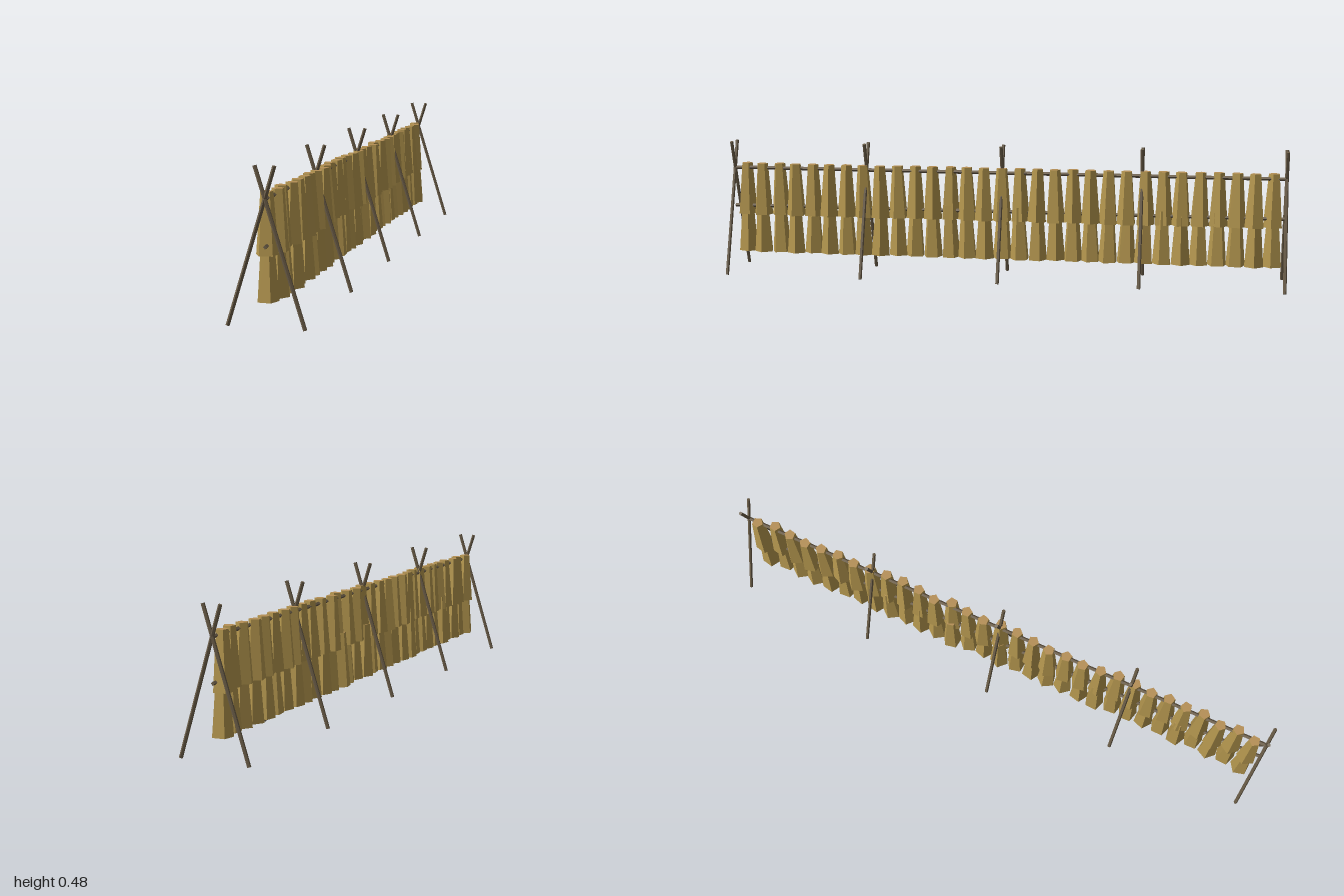
import * as THREE from 'three';

export function createModel() {
  const root = new THREE.Group();
  root.name = 'dryingRack';

  const mat = (name, color) => {
    const m = new THREE.MeshStandardMaterial({ color, flatShading: true });
    m.name = name;
    return m;
  };
  const wood = mat('weatheredWood', 0x6b5d48);
  const straw = mat('straw', 0xb6984f);
  const strawEnd = mat('strawCutEnd', 0xb58f55);

  // seeded random in [-1, 1]
  let seed = 11;
  const jitter = () => {
    seed = (seed * 16807) % 2147483647;
    return (seed / 2147483647) * 2 - 1;
  };

  // straight pole between two points
  const up = new THREE.Vector3(0, 1, 0);
  const pole = (name, a, b, radius, sides) => {
    const dir = b.clone().sub(a);
    const mesh = new THREE.Mesh(
      new THREE.CylinderGeometry(radius, radius, dir.length(), sides), wood);
    mesh.name = name;
    mesh.position.copy(a).add(b).multiplyScalar(0.5);
    mesh.quaternion.setFromUnitVectors(up, dir.normalize());
    return mesh;
  };

  // five crossed pole trestles
  for (let i = -2; i <= 2; i++) {
    const trestle = new THREE.Group();
    trestle.name = 'trestle';
    trestle.position.z = i * 0.497;
    for (const s of [-1, 1]) {
      trestle.add(pole('trestlePole',
        new THREE.Vector3(s * 0.119, 0.002, 0),
        new THREE.Vector3(-s * 0.03, 0.478, 0), 0.0062, 6));
    }
    root.add(trestle);
  }

  // two long rails
  for (const [name, y] of [['upperRail', 0.381], ['lowerRail', 0.241]]) {
    root.add(pole(name, new THREE.Vector3(0, y, -0.996), new THREE.Vector3(0, y, 0.996), 0.0065, 4));
  }

  // two rows of hanging five-sided bundles, flaring downwards
  const bundleGeometry = new THREE.CylinderGeometry(0.02, 0.035, 0.188, 5);
  for (const [name, y] of [['upperBundles', 0.304], ['lowerBundles', 0.166]]) {
    const row = new THREE.Group();
    row.name = name;
    for (let i = -15; i <= 15; i++) {
      const bundle = new THREE.Mesh(bundleGeometry, [straw, strawEnd, straw]);
      bundle.name = 'bundle';
      bundle.position.set(jitter() * 0.009, y, i * 0.0635);
      bundle.rotation.set(jitter() * 0.015, jitter() * Math.PI, jitter() * 0.015, 'XZY');
      row.add(bundle);
    }
    root.add(row);
  }
  return root;
}
